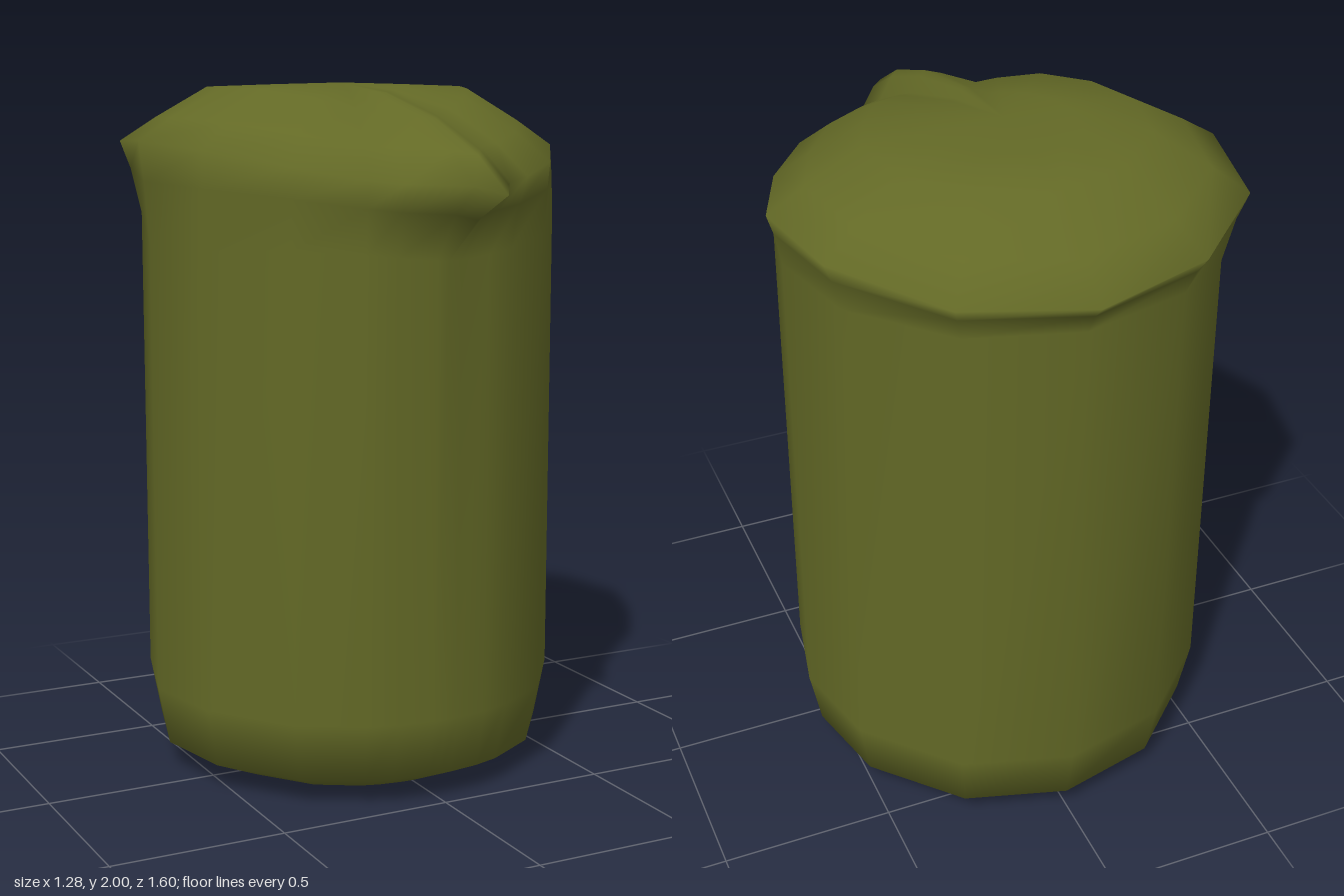
import * as THREE from 'three';

// Rim outline seen from above: x, z, rim height, lower lip height, spout weight (0..1)
const RIM = [
  [0.01, -0.80, 1.80, 1.69, 0], [0.35, -0.69, 1.81, 1.69, 0], [0.585, -0.41, 1.84, 1.69, 0],
  [0.64, -0.11, 1.84, 1.69, 0], [0.545, 0.13, 1.82, 1.64, 0.1], [0.395, 0.37, 1.78, 1.58, 0.4],
  [0.235, 0.51, 1.75, 1.55, 0.8], [0.15, 0.56, 1.74, 1.54, 1], [0.05, 0.72, 1.74, 1.53, 1],
  [0.0, 0.80, 1.72, 1.53, 1],
  [-0.05, 0.72, 1.74, 1.53, 1], [-0.165, 0.56, 1.74, 1.54, 1], [-0.25, 0.51, 1.75, 1.55, 0.8],
  [-0.41, 0.37, 1.78, 1.56, 0.4], [-0.56, 0.13, 1.82, 1.55, 0.1], [-0.645, -0.13, 1.84, 1.54, 0],
  [-0.58, -0.46, 1.83, 1.62, 0], [-0.33, -0.70, 1.81, 1.69, 0],
];
const CX = -0.006, CZ = -0.11;
const lerp = THREE.MathUtils.lerp;

// Point on the round body, in the direction of a rim point
function onBody([x, z], r, y) {
  const a = Math.atan2(z - CZ, x - CX);
  return [CX + Math.cos(a) * r, y, CZ + Math.sin(a) * r];
}

// Point on the domed lid: t is the share of the way out from the middle
function onLid([x, z, rimY, , spout], t, back, front) {
  return [lerp(-0.02, x, t), lerp(rimY, 2, lerp(back, front, spout)), lerp(-0.12, z, t)];
}

function buildRings() {
  const rings = [];
  // Rounded foot and straight wall
  for (const [r, y] of [[0.41, 0], [0.578, 0.075], [0.611, 0.245]]) {
    rings.push(RIM.map((p) => onBody(p, r, y)));
  }
  rings.push(RIM.map((p) => onBody(p, 0.611, p[3])));
  // Underside of the lip and spout
  rings.push(RIM.map((p) => {
    const b = onBody(p, 0.611, p[3]);
    return [lerp(b[0], p[0], 0.5), lerp(b[1], p[2], 0.62), lerp(b[2], p[1], 0.5)];
  }));
  // Rim, then the lid
  rings.push(RIM.map((p) => [p[0], p[2], p[1]]));
  for (const [t, back, front] of [[0.84, 0.4, 0.34], [0.6, 0.93, 0.66], [0.3, 0.97, 0.9]]) {
    rings.push(RIM.map((p) => onLid(p, t, back, front)));
  }
  return rings;
}

function skin(rings, bottom, top) {
  const n = RIM.length;
  const pos = rings.flat(2);
  const low = rings.length * n;
  pos.push(...bottom, ...top);
  const index = [];
  for (let i = 0; i < n; i++) {
    const j = (i + 1) % n;
    for (let r = 0; r < rings.length - 1; r++) {
      const a = r * n + i, b = r * n + j, c = b + n, d = a + n;
      index.push(b, a, d, b, d, c);
    }
    const last = (rings.length - 1) * n;
    index.push(i, j, low);
    index.push(last + j, last + i, low + 1);
  }
  const geometry = new THREE.BufferGeometry();
  geometry.setAttribute('position', new THREE.Float32BufferAttribute(pos, 3));
  geometry.setIndex(index);
  geometry.computeVertexNormals();
  return geometry;
}

export function createModel() {
  const group = new THREE.Group();
  group.name = 'pitcher';
  const olive = new THREE.MeshStandardMaterial({ color: 0x636926 });
  olive.name = 'olive';

  // One continuous skin: foot, wall, spout and lid
  const body = new THREE.Mesh(skin(buildRings(), [CX, 0, CZ], [-0.02, 2, -0.12]), olive);
  body.name = 'pitcherBody';
  group.add(body);
  return group;
}
